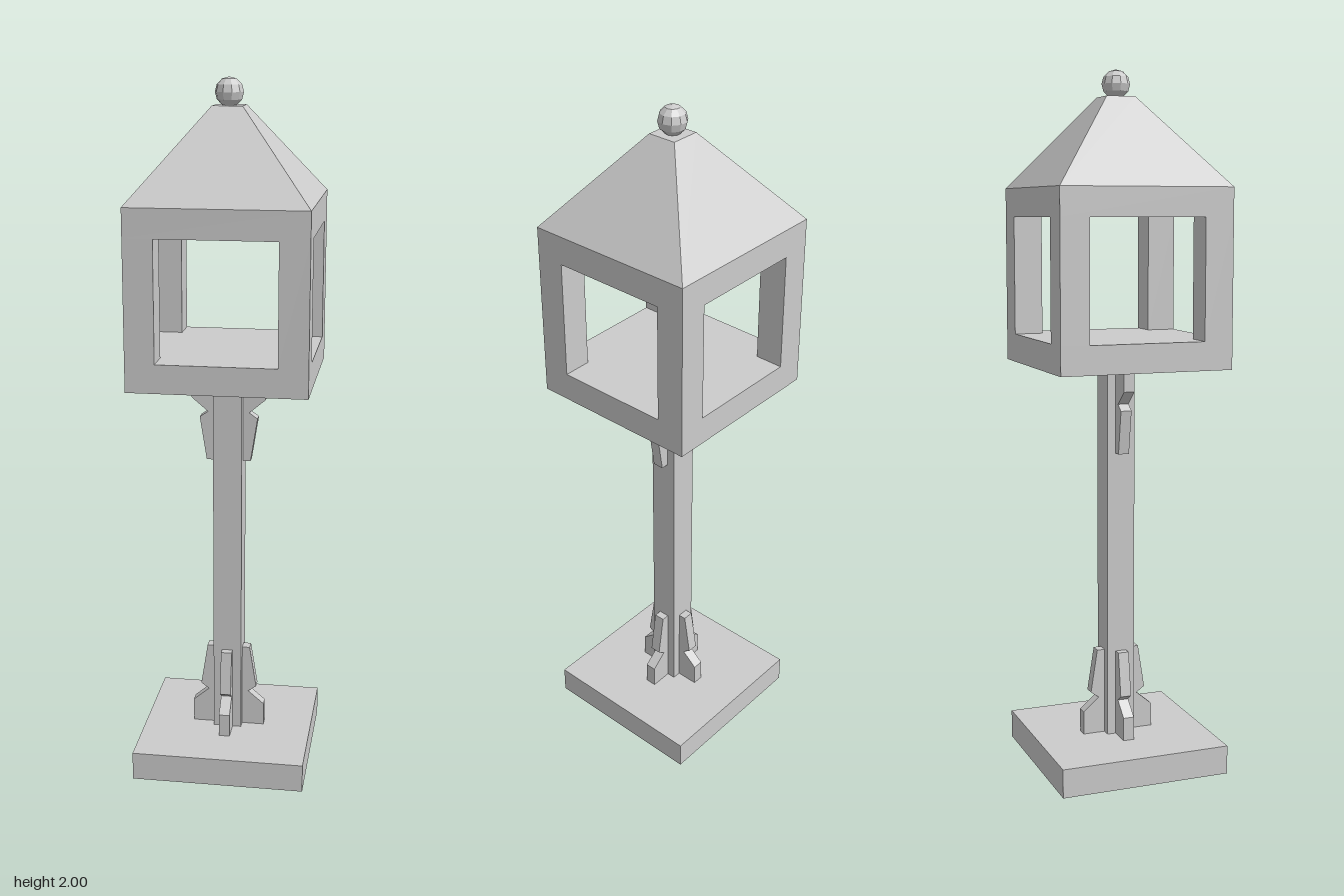
import * as THREE from 'three';

export function createModel() {
  const root = new THREE.Group();
  const stone = new THREE.MeshStandardMaterial({ color: 0xcccccc, flatShading: true });
  stone.name = 'lightGrey';

  const add = (name, geometry, x = 0, y = 0, z = 0) => {
    const mesh = new THREE.Mesh(geometry, stone);
    mesh.name = name;
    mesh.position.set(x, y, z);
    root.add(mesh);
    return mesh;
  };
  // Box standing between two heights
  const slab = (name, width, y0, y1, x = 0, z = 0) =>
    add(name, new THREE.BoxGeometry(width, y1 - y0, width), x, (y0 + y1) / 2, z);

  slab('base', 0.5, 0, 0.083);
  slab('post', 0.083, 0.083, 1.175);

  // Lantern housing: floor, ceiling and four corner pillars
  slab('lanternFloor', 0.5, 1.175, 1.256);
  slab('lanternCeiling', 0.5, 1.594, 1.675);
  for (const x of [-1, 1]) for (const z of [-1, 1])
    slab('lanternPillar', 0.083, 1.256, 1.594, x * 0.2085, z * 0.2085);

  // Pyramid roof with a flat top: a four-sided cone turned to the axes
  const roof = new THREE.CylinderGeometry(0.042 * Math.SQRT2, 0.25 * Math.SQRT2, 0.25, 4);
  roof.rotateY(Math.PI / 4);
  add('roof', roof, 0, 1.8, 0);

  add('finial', new THREE.SphereGeometry(0.04, 10, 6), 0, 1.96, 0);

  // Notched brackets; the profile rises from the plate they brace
  const profile = [[0.03, 0], [0.107, 0], [0.107, 0.068], [0.06, 0.108],
    [0.084, 0.125], [0.064, 0.252], [0.03, 0.252]];
  const bracket = (name, y, angle, flip) => {
    const points = profile.map(([px, py]) => new THREE.Vector2(px, flip ? -py : py));
    const geometry = new THREE.ExtrudeGeometry(new THREE.Shape(points),
      { depth: 0.032, bevelEnabled: false });
    geometry.translate(0, 0, -0.016);
    add(name, geometry, 0, y, 0).rotation.y = angle;
  };
  for (let i = 0; i < 4; i++) bracket('baseBracket', 0.083, i * Math.PI / 2, false);
  for (const angle of [0, Math.PI]) bracket('lanternBracket', 1.175, angle, true);

  return root;
}
